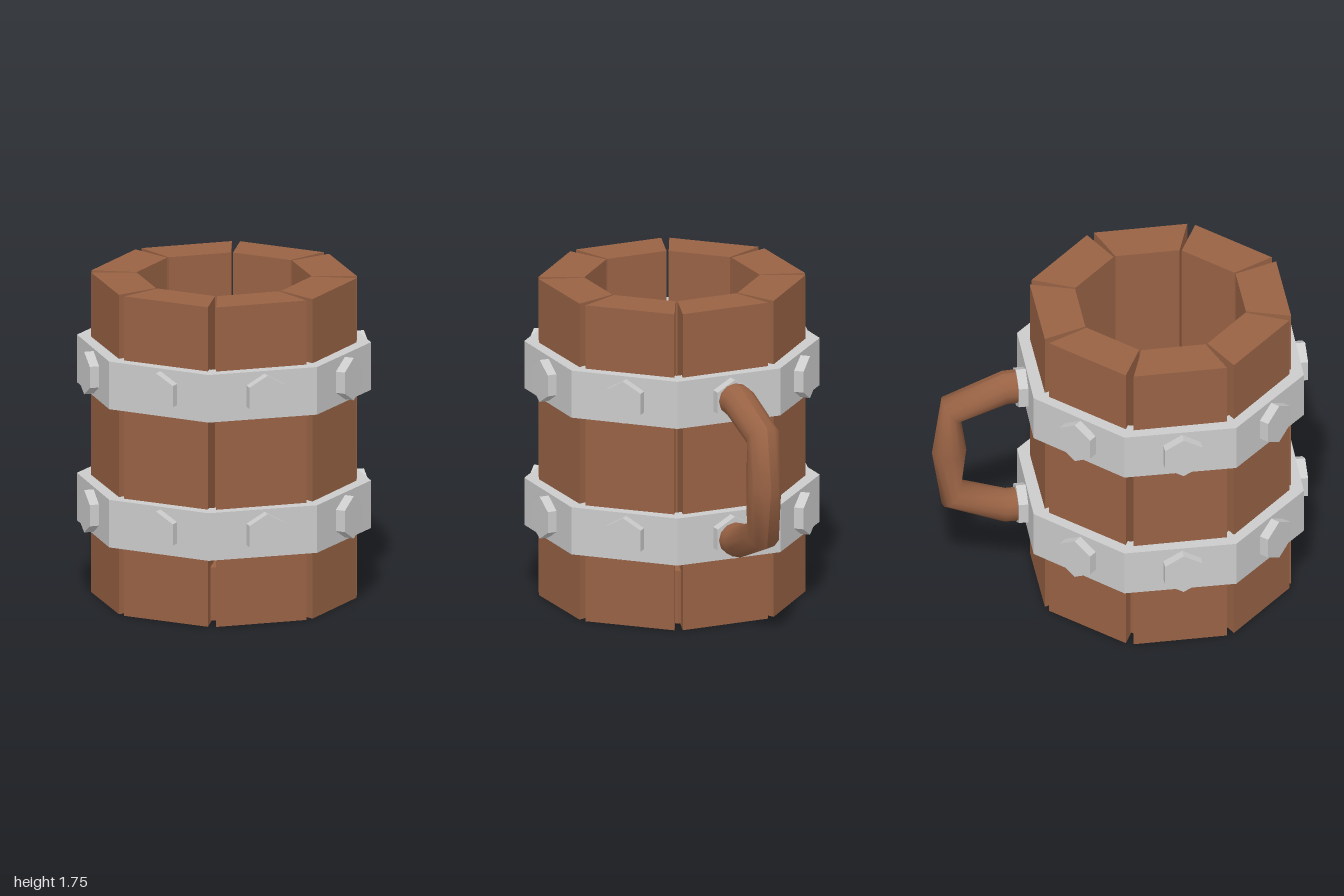
import * as THREE from 'three';
import { ParametricGeometry } from 'three/addons/geometries/ParametricGeometry.js';

const wood = new THREE.MeshStandardMaterial({ color: 0x986244, flatShading: true });
const handleWood = new THREE.MeshStandardMaterial({ color: 0x986244 });
const metal = new THREE.MeshStandardMaterial({ color: 0xcccccc, flatShading: true });
const SIDES = 8;
const STEP = (Math.PI * 2) / SIDES;

function octagon(radius, PathType = THREE.Shape) {
  const points = [];
  for (let i = 0; i < SIDES; i++) {
    const a = (i + 0.5) * STEP;
    points.push(new THREE.Vector2(Math.cos(a) * radius, Math.sin(a) * radius));
  }
  return new PathType(points);
}

// Extrudes a plan shape upward from y0 to y1; shape y becomes -z
function upright(shape, y0, y1) {
  return new THREE.ExtrudeGeometry(shape, { depth: y1 - y0, bevelEnabled: false })
    .rotateX(-Math.PI / 2)
    .translate(0, y0, 0);
}

function add(parent, name, geometry, material) {
  const mesh = new THREE.Mesh(geometry, material);
  mesh.name = name;
  parent.add(mesh);
  return mesh;
}

export function createModel() {
  const model = new THREE.Group();
  model.name = 'tankard';
  const body = new THREE.Group();
  body.name = 'body';
  body.position.z = 0.225;
  model.add(body);

  // Wedge-shaped staves with narrow gaps between them
  const wedge = new THREE.Shape([
    new THREE.Vector2(-0.25, -0.66),
    new THREE.Vector2(0.25, -0.66),
    new THREE.Vector2(0.172, -0.43),
    new THREE.Vector2(-0.172, -0.43),
  ]);
  const staveGeometry = upright(wedge, 0.005, 1.75);
  for (let i = 0; i < SIDES; i++) {
    add(body, 'stave', staveGeometry, wood).rotation.y = i * STEP;
  }

  // Floor plug
  add(body, 'floor', upright(octagon(0.63), 0.02, 0.31), wood);

  // Two metal hoops, each with a hexagonal bolt on every face
  const hoopShape = octagon(0.782);
  hoopShape.holes.push(octagon(0.67, THREE.Path));
  const boltGeometry = new THREE.CylinderGeometry(0.116, 0.116, 0.1, 6)
    .rotateX(Math.PI / 2)
    .translate(0, 0, 0.725);
  for (const y of [0.515, 1.27]) {
    const hoop = new THREE.Group();
    hoop.name = 'hoop';
    hoop.position.y = y;
    body.add(hoop);
    add(hoop, 'band', upright(hoopShape, -0.13, 0.13), metal).rotation.y = -0.014;
    for (let i = 0; i < SIDES; i++) {
      add(hoop, 'bolt', boltGeometry, metal).rotation.y = i * STEP;
    }
  }

  // Handle: mitred sections, each given by its inner and outer z and y
  const upper = [
    [-0.5, 0.295, -0.5, 0.475],
    [-0.6, 0.295, -0.62, 0.47],
    [-0.845, 0.21, -0.948, 0.333],
  ];
  const middle = [-0.815, 0, -1, 0];
  const lower = upper.map(([zi, yi, zo, yo]) => [zi, -yi, zo, -yo]).reverse();
  const sections = [...upper, middle, ...lower];
  const spans = sections.length - 1;
  const handleGeometry = new ParametricGeometry((u, v, target) => {
    const [zi, yi, zo, yo] = sections[Math.round(v * spans)];
    const a = u * Math.PI * 2;
    const t = (1 + Math.cos(a)) / 2;
    target.set(Math.sin(a) * 0.093, 0.895 + yi + (yo - yi) * t, zi + (zo - zi) * t);
  }, 12, spans);
  handleGeometry.computeVertexNormals();
  handleWood.side = THREE.DoubleSide;
  add(model, 'handle', handleGeometry, handleWood);

  return model;
}
